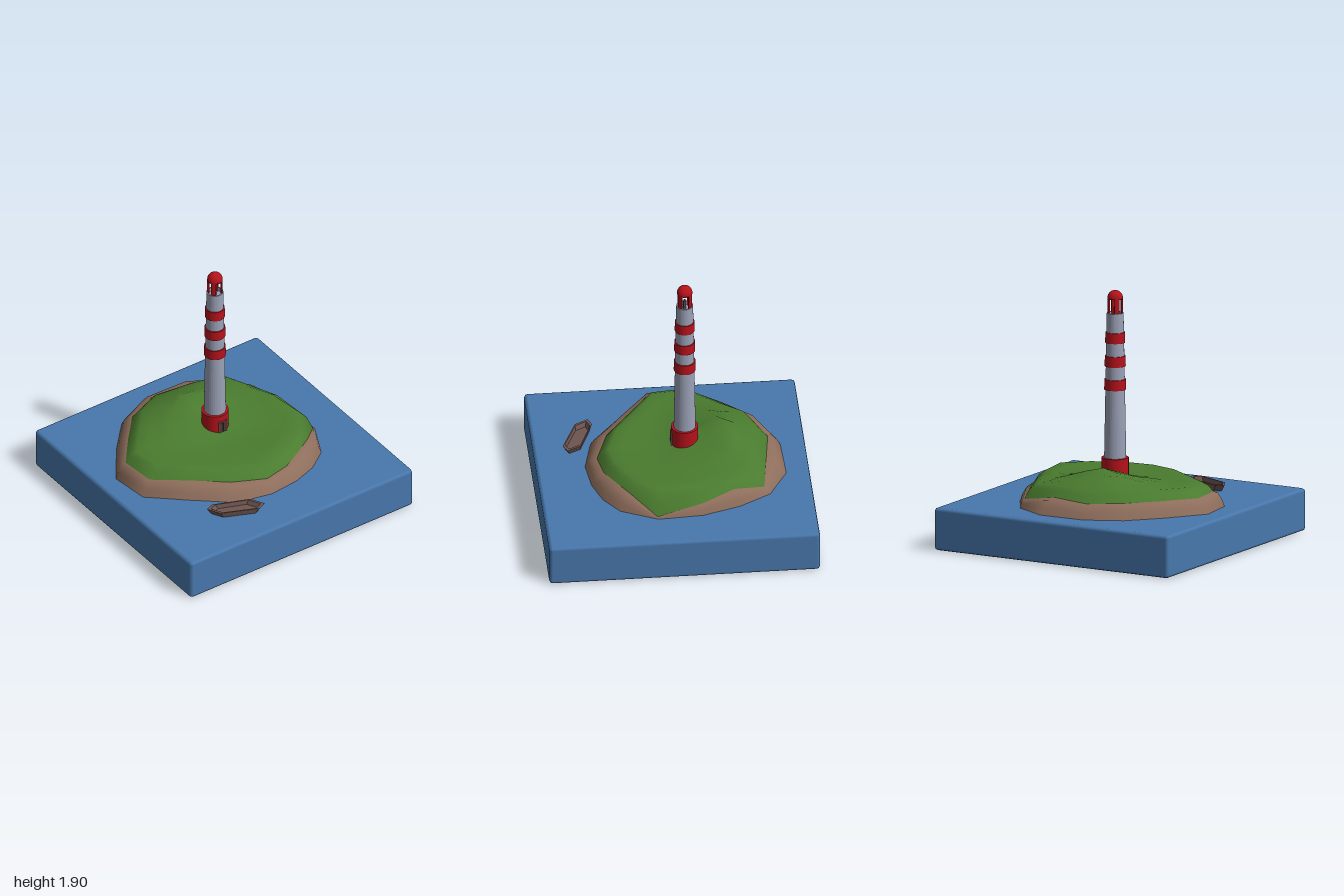
import * as THREE from 'three';
import { mergeVertices } from 'three/addons/utils/BufferGeometryUtils.js';
import { RoundedBoxGeometry } from 'three/addons/geometries/RoundedBoxGeometry.js';

const mat = (color, extra = {}) => new THREE.MeshStandardMaterial({ color, ...extra });
const RED = mat(0xb5121b);
const WHITE = mat(0x9aa0b5, { side: THREE.DoubleSide });
const WOOD = mat(0x6e5550, { flatShading: true });
const DARK = mat(0x33292a);

function add(parent, name, geometry, material, x = 0, y = 0, z = 0) {
  const mesh = new THREE.Mesh(geometry, material);
  mesh.name = name;
  mesh.position.set(x, y, z);
  parent.add(mesh);
  return mesh;
}

// Skin through rings of [x, y, z] points, with an optional closing point
function loft(rings, tip) {
  const n = rings[0].length;
  const pos = rings.flat(2);
  const idx = [];
  for (let r = 0; r < rings.length - 1; r++) {
    for (let i = 0; i < n; i++) {
      const j = (i + 1) % n;
      const a = r * n + i, b = r * n + j;
      idx.push(a, a + n, b, b, a + n, b + n);
    }
  }
  if (tip) {
    const base = (rings.length - 1) * n;
    pos.push(...tip);
    for (let i = 0; i < n; i++) idx.push(base + i, rings.length * n, base + (i + 1) % n);
  }
  const g = new THREE.BufferGeometry();
  g.setAttribute('position', new THREE.Float32BufferAttribute(pos, 3));
  g.setIndex(idx);
  g.computeVertexNormals();
  return g;
}

// Coast: waterline x, z, then grass edge x, z and height
const COAST = [
  [-0.17, -0.82, -0.14, -0.72, 0.42], [0.20, -0.83, 0.16, -0.68, 0.43],
  [0.45, -0.69, 0.44, -0.64, 0.38], [0.59, -0.45, 0.52, -0.41, 0.43],
  [0.68, -0.17, 0.635, -0.17, 0.40], [0.70, 0.17, 0.68, 0.17, 0.33],
  [0.57, 0.44, 0.50, 0.36, 0.43], [0.41, 0.555, 0.35, 0.45, 0.43],
  [0.22, 0.62, 0.20, 0.52, 0.41], [-0.02, 0.645, 0, 0.555, 0.40],
  [-0.30, 0.58, -0.26, 0.46, 0.42], [-0.56, 0.36, -0.50, 0.28, 0.43],
  [-0.82, 0.13, -0.74, 0.10, 0.43], [-0.855, -0.17, -0.765, -0.17, 0.43],
  [-0.64, -0.47, -0.58, -0.40, 0.43], [-0.44, -0.69, -0.40, -0.60, 0.43],
];

// Gentle plateau with a hill behind the tower
function groundHeight(x, z) {
  const across = Math.max(0, 1 - Math.abs(x + 0.07) / 0.45);
  const along = z > -0.4 ? (0.05 - z) / 0.45 : (z + 0.66) / 0.26;
  return 0.483 + 0.025 * Math.abs(x) + 0.15 * across * Math.max(0, along);
}

function buildIsland(group) {
  const { lerp } = THREE.MathUtils;
  const soilRing = (t, rise) => COAST.map(([ox, oz, gx, gz, gy]) =>
    [lerp(ox, gx, t), lerp(0.31, gy, rise), lerp(oz, gz, t)]);
  add(group, 'soil', loft([soilRing(0, 0), soilRing(0.25, 0.5), soilRing(0.6, 0.9), soilRing(1, 1)]),
    mat(0x8f6e5c));

  const cx = -0.05, cz = -0.1;
  const grassRing = (t, blend) => COAST.map(([, , gx, gz, gy]) => {
    const x = lerp(cx, gx, t), z = lerp(cz, gz, t);
    return [x, lerp(gy, groundHeight(x, z), blend), z];
  });
  const rings = [[1, 0], [0.94, 0.65], [0.87, 1], [0.74, 1], [0.6, 1], [0.48, 1], [0.3, 1], [0.12, 1]];
  add(group, 'grass', loft(rings.map(([t, b]) => grassRing(t, b)), [cx, groundHeight(cx, cz), cz]),
    mat(0x4a7c2f));
}

function buildLighthouse() {
  const tower = new THREE.Group();
  tower.name = 'lighthouse';
  tower.position.set(-0.015, 0, -0.095);

  add(tower, 'towerBase', new THREE.CylinderGeometry(0.1, 0.1, 0.175, 32), RED, 0, 0.5575, 0);
  // Tapered shaft with a recessed lantern floor
  const profile = [[0.082, 0.6], [0.062, 1.73], [0.052, 1.73], [0.052, 1.7], [0, 1.7]];
  const shaft = new THREE.LatheGeometry(profile.map(p => new THREE.Vector2(...p)), 32);
  add(tower, 'shaft', shaft.toNonIndexed(), WHITE).geometry.computeVertexNormals();
  WHITE.flatShading = false;

  for (const [y, r] of [[1.195, 0.08], [1.37, 0.077], [1.547, 0.073]]) {
    add(tower, 'redBand', new THREE.CylinderGeometry(r - 0.001, r + 0.001, 0.078, 32), RED, 0, y, 0);
  }

  // Four curved lantern posts on the diagonals
  for (let k = 0; k < 4; k++) {
    const mid = Math.PI / 4 + k * Math.PI / 2, half = 0.32;
    const shape = new THREE.Shape();
    shape.absarc(0, 0, 0.057, mid - half, mid + half, false);
    shape.absarc(0, 0, 0.045, mid + half, mid - half, true);
    const g = new THREE.ExtrudeGeometry(shape, { depth: 0.14, bevelEnabled: false, curveSegments: 6 });
    g.rotateX(-Math.PI / 2);
    add(tower, 'lanternPost', g, RED, 0, 1.7, 0);
  }
  add(tower, 'lamp', new THREE.CylinderGeometry(0.011, 0.011, 0.07, 12), mat(0x55565c), 0, 1.735, 0);
  add(tower, 'lampTop', new THREE.SphereGeometry(0.011, 12, 6, 0, Math.PI * 2, 0, Math.PI / 2), DARK, 0, 1.77, 0);

  // Domed roof, closed underneath
  const dome = [new THREE.Vector2(0, 1.835), new THREE.Vector2(0.057, 1.835)];
  for (let i = 0; i <= 8; i++) {
    const a = i / 8 * Math.PI / 2;
    dome.push(new THREE.Vector2(0.057 * Math.cos(a), 1.843 + 0.057 * Math.sin(a)));
  }
  add(tower, 'domeRoof', new THREE.LatheGeometry(dome, 32), RED);

  // Door with frame, two leaves and a dark gap
  const box = (w, h, d) => new THREE.BoxGeometry(w, h, d);
  add(tower, 'doorPanel', box(0.06, 0.105, 0.03), DARK, 0, 0.5325, 0.086);
  for (const s of [-1, 1]) {
    add(tower, 'doorJamb', box(0.008, 0.115, 0.03), WOOD, s * 0.031, 0.5375, 0.09);
    add(tower, 'doorLeaf', box(0.022, 0.1, 0.03), mat(0x4e3833), s * 0.014, 0.53, 0.088);
  }
  add(tower, 'doorLintel', box(0.07, 0.008, 0.03), WOOD, 0, 0.591, 0.09);
  return tower;
}

// Hollow six-sided rowing boat
function buildBoat() {
  const outline = [[-0.196, -0.093], [-0.13, -0.118], [0.14, -0.013], [0.195, 0.092], [0.13, 0.122], [-0.14, 0.007]];
  const ring = (s, y) => outline.map(([x, z]) => [x * s, y, z * s]);
  const g = loft([ring(0.78, 0.31), ring(1, 0.368), ring(0.86, 0.368), ring(0.75, 0.334)], [0, 0.334, 0]);
  return new THREE.Mesh(g, WOOD);
}

export function createModel() {
  const model = new THREE.Group();
  model.name = 'lighthouseIsland';

  add(model, 'sea', mergeVertices(new RoundedBoxGeometry(2, 0.32, 2, 1, 0.025)), mat(0x4878ad), 0, 0.16, 0);
  buildIsland(model);
  model.add(buildLighthouse());

  const boat = buildBoat();
  boat.name = 'rowingBoat';
  boat.position.set(-0.36, 0, 0.663);
  model.add(boat);
  return model;
}
